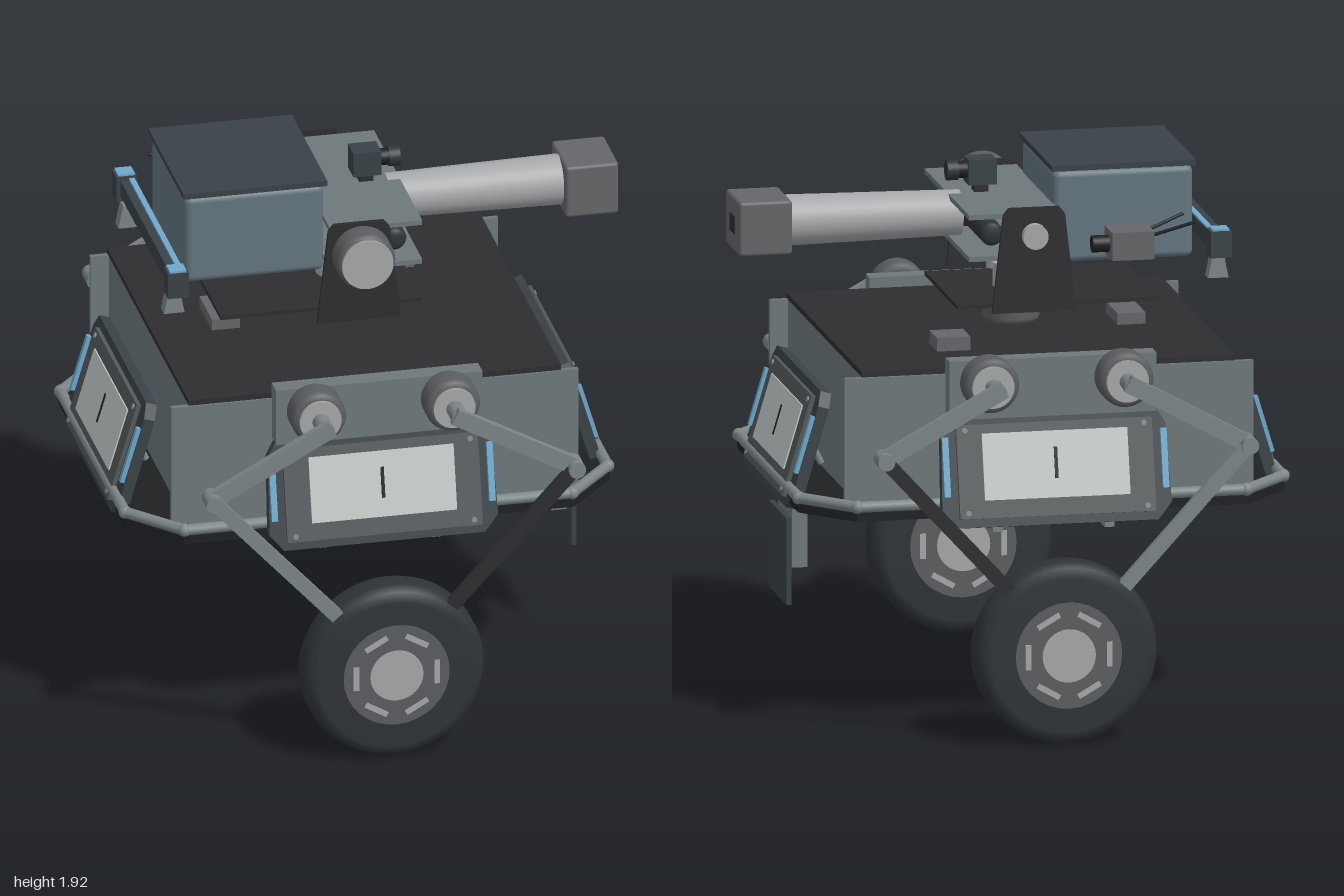
import * as THREE from 'three';
import { RoundedBoxGeometry } from 'three/addons/geometries/RoundedBoxGeometry.js';

const C = { hull: 0x6e787b, dark: 0x2e2e31, black: 0x1f2022, frame: 0x55595b, panel: 0xc4cac9, blue: 0x6fa9cc,
  tyre: 0x2f3338, hub: 0x5c5d60, metal: 0xa6a8a9, box: 0x64757f, lid: 0x3a4247, grey: 0x66666a, rail: 0x7c8587 };
const mats = {};
const mat = c => mats[c] ??= new THREE.MeshStandardMaterial({ color: C[c], side: THREE.DoubleSide });
const V = (x, y, z) => new THREE.Vector3(x, y, z);

function add(parent, name, geo, color, x = 0, y = 0, z = 0) {
  const m = new THREE.Mesh(geo, mat(color));
  m.name = name;
  m.position.set(x, y, z);
  parent.add(m);
  return m;
}
function group(parent, name, x = 0, y = 0, z = 0) {
  const g = new THREE.Group();
  g.name = name;
  g.position.set(x, y, z);
  parent.add(g);
  return g;
}
const box = (w, h, d) => new THREE.BoxGeometry(w, h, d);
const cylY = (r, h, r2 = r) => new THREE.CylinderGeometry(r2, r, h, 32);
const cylZ = (r, h, r2 = r) => cylY(r, h, r2).rotateX(Math.PI / 2);
const cylX = (r, h, r2 = r) => cylY(r, h, r2).rotateZ(-Math.PI / 2);

// A bar between two points, round when no depth is given
function bar(parent, name, a, b, w, color, depth) {
  const len = a.distanceTo(b);
  const m = add(parent, name, depth ? box(w, len, depth) : new THREE.CylinderGeometry(w, w, len, 12), color);
  m.position.copy(a).lerp(b, 0.5);
  m.quaternion.setFromUnitVectors(V(0, 1, 0), b.clone().sub(a).normalize());
  return m;
}
function plate(points, depth) {
  const s = new THREE.Shape(points.map(p => new THREE.Vector2(...p)));
  return new THREE.ExtrudeGeometry(s, { depth, bevelEnabled: false }).translate(0, 0, -depth / 2);
}
const octagon = (hx, hz, cx, cz) => [[hx, hz - cz], [hx - cx, hz], [cx - hx, hz], [-hx, hz - cz],
  [-hx, cz - hz], [cx - hx, -hz], [hx - cx, -hz], [hx, cz - hz]];
// Rounded drum built as a lathe, axis along z
function drum(r, d, e) {
  const p = [[0, -d / 2], [r - e, -d / 2], [r - e * 0.3, -d / 2 + e * 0.3], [r, -d / 2 + e],
    [r, d / 2 - e], [r - e * 0.3, d / 2 - e * 0.3], [r - e, d / 2], [0, d / 2]];
  return new THREE.LatheGeometry(p.map(q => new THREE.Vector2(...q)), 48).rotateX(Math.PI / 2);
}

// Sloping equipment panel, facing +z before it is turned
function sidePanel(parent, yaw, dist, y, tilt, h, inner, white) {
  const g = group(parent, 'sidePanel', Math.sin(yaw) * dist, y, Math.cos(yaw) * dist);
  g.rotation.set(-tilt, yaw, 0, 'YXZ');
  const k = h / 2;
  add(g, 'panelFrame', plate([[-0.36, -k], [0.36, -k], [0.41, -k + 0.06], [0.4, k - 0.05], [0.37, k],
    [-0.37, k], [-0.4, k - 0.05], [-0.41, -k + 0.06]], 0.04), 'lid');
  add(g, 'innerFrame', box(inner * 2, h - 0.06, 0.02), 'frame', 0, 0, 0.026);
  add(g, 'whitePanel', box(white * 2, 0.235, 0.01), 'panel', 0, 0.015, 0.036);
  add(g, 'slot', box(0.012, 0.11, 0.01), 'black', 0, 0.02, 0.039);
  for (const s of [-1, 1]) {
    add(g, 'lightStrip', box(0.022, 0.21, 0.03), 'blue', s * 0.39, 0.02, 0.02);
    for (const t of [-1, 1]) add(g, 'bolt', cylZ(0.01, 0.012), 'rail', s * (inner - 0.03), t * (k - 0.05), 0.036);
  }
}

function wheelUnit(parent) {
  const g = group(parent, 'wheelUnit');
  const wheel = group(g, 'wheel', 0, 0.33, 0.9);
  add(wheel, 'tyre', drum(0.325, 0.17, 0.05), 'tyre');
  for (const s of [-1, 1]) {
    add(wheel, 'hub', cylZ(0.19, 0.01), 'hub', 0, 0, s * 0.085);
    add(wheel, 'hubCap', cylZ(0.095, 0.02), 'metal', 0, 0, s * 0.085);
    for (let i = 0; i < 6; i++) {
      const a = i * Math.PI / 3;
      add(wheel, 'hubSlot', box(0.02, 0.09, 0.01), 'metal', Math.cos(a) * 0.145, Math.sin(a) * 0.145, s * 0.088).rotation.z = a;
    }
  }
  add(g, 'motorMount', box(0.74, 0.21, 0.07), 'hull', 0, 1.235, 0.68);
  for (const s of [-1, 1]) {
    add(g, 'motor', drum(0.098, 0.12, 0.025), 'hub', s * 0.24, 1.27, 0.78);
    add(g, 'motorCap', cylZ(0.075, 0.02), 'metal', s * 0.24, 1.27, 0.84);
    add(g, 'motorShaft', cylZ(0.03, 0.1), 'rail', s * 0.24, 1.27, 0.89);
    bar(g, 'upperArm', V(s * 0.22, 1.285, 0.94), V(s * 0.65, 1.05, 0.94), 0.06, 'rail', 0.03);
    add(g, 'elbow', cylZ(0.03, 0.085), 'rail', s * 0.65, 1.05, 0.945);
    bar(g, 'lowerArm', V(s * 0.65, 1.05, 0.955), V(s * 0.02, 0.36, 0.955), 0.05, s > 0 ? 'dark' : 'rail', 0.025);
  }
}

function buildChassis(root) {
  const g = group(root, 'chassis', -0.06);
  add(g, 'basePlate', plate(octagon(0.87, 0.71, 0.17, 0.19), 0.03).rotateX(Math.PI / 2), 'black', 0, 0.795, 0);
  add(g, 'body', box(1.33, 0.48, 1.27), 'hull', 0, 1.04, 0);
  add(g, 'roof', box(1.335, 0.02, 1.29), 'dark', 0, 1.292, 0);
  add(g, 'hatch', box(0.18, 0.01, 0.14), 'lid', 0, 0.777, 0);
  const rail = octagon(0.865, 0.7, 0.17, 0.19).map(([x, z]) => V(x, 0.83, z));
  rail.forEach((p, i) => {
    bar(g, 'rail', p, rail[(i + 1) % 8], 0.02, 'rail');
    add(g, 'railJoint', new THREE.SphereGeometry(0.024, 12, 8), 'rail', p.x, p.y, p.z);
  });
  for (const s of [-1, 1]) {
    add(g, 'sideSkin', box(1.46, 0.45, 0.02), 'hull', 0, 1.055, s * 0.638);
    const unit = group(g, 'wheelSide');
    unit.rotation.y = 0;
    unit.scale.z = s;
    wheelUnit(unit);
    sidePanel(g, s > 0 ? 0 : Math.PI, 0.735, 0.945, 0.25, 0.39, 0.35, 0.26);
    sidePanel(g, s * Math.PI / 2, 0.8, 0.965, 0.29, 0.43, 0.33, 0.26);
  }
  // Two hooks under every side, and a pair of panel stays
  for (let i = 0; i < 4; i++) {
    const side = group(g, 'sideHooks');
    side.rotation.y = i * Math.PI / 2;
    const d = i % 2 ? 0.82 : 0.73;
    for (const s of [-0.2, 0.2]) {
      add(side, 'hookBar', box(0.035, 0.02, 0.22), 'rail', s, 0.735, d - 0.11);
      add(side, 'hookPost', box(0.03, 0.07, 0.02), 'rail', s, 0.765, d - 0.03);
      add(side, 'hookPost', box(0.03, 0.07, 0.02), 'rail', s, 0.765, d - 0.19);
      bar(side, 'panelStay', V(s, 0.88, d - 0.1), V(s, 1.02, d - 0.03), 0.012, 'rail');
    }
  }
  // Hanging flap at the barrel end
  add(g, 'flapMount', box(0.055, 0.28, 0.24), 'hull', 0.78, 0.63, 0);
  add(g, 'flap', box(0.018, 0.31, 0.31), 'lid', 0.825, 0.52, 0);
  add(g, 'roofBox', box(0.12, 0.05, 0.13), 'grey', 0.285, 1.325, -0.32);
  add(g, 'roofBox', box(0.1, 0.045, 0.2), 'grey', -0.41, 1.32, 0);
}

function buildTurret(root) {
  const g = group(root, 'turret');
  add(g, 'turretRing', drum(0.1, 0.1, 0.02).rotateX(Math.PI / 2), 'hub', -0.06, 1.365, 0);
  add(g, 'turretNeck', cylY(0.065, 0.1), 'metal', -0.06, 1.475, 0);
  add(g, 'turretDeck', box(0.72, 0.015, 0.56), 'dark', -0.17, 1.432, 0);
  for (const s of [-1, 1]) {
    add(g, 'sideBracket', plate([[-0.21, 1.43], [0.09, 1.43], [0.05, 1.78], [0.03, 1.805], [-0.15, 1.805], [-0.17, 1.78]], 0.015),
      'dark', 0, 0, s * 0.39);
    add(g, 'supportFoot', cylY(0.045, 0.05), 'metal', -0.06, 1.485, s * 0.21);
    add(g, 'supportPost', cylY(0.05, 0.09), 'tyre', -0.06, 1.56, s * 0.21);
  }
  add(g, 'elevationDrum', drum(0.105, 0.12, 0.025), 'hub', -0.06, 1.705, 0.47);
  add(g, 'elevationCap', cylZ(0.092, 0.01), 'metal', -0.06, 1.705, 0.531);
  add(g, 'pivotCap', cylZ(0.045, 0.035), 'metal', -0.06, 1.705, -0.41);
  add(g, 'topPlate', box(0.33, 0.018, 0.76), 'hull', 0.005, 1.775, 0);
  add(g, 'lowerPlate', box(0.33, 0.018, 0.76), 'hull', 0.005, 1.625, 0);
  add(g, 'crossDrum', drum(0.042, 0.72, 0.02), 'tyre', 0.08, 1.705, 0);
  add(g, 'rearDrum', cylY(0.09, 0.12), 'tyre', -0.2, 1.7, 0);

  // Barrel and square muzzle
  add(g, 'barrelRoot', cylX(0.05, 0.14), 'tyre', 0.08, 1.71, 0);
  add(g, 'barrel', cylX(0.08, 0.63, 0.09), 'metal', 0.44, 1.71, 0);
  add(g, 'muzzle', new RoundedBoxGeometry(0.19, 0.195, 0.235, 2, 0.012), 'grey', 0.84, 1.708, 0);
  add(g, 'muzzleHole', box(0.006, 0.065, 0.085), 'dark', 0.934, 1.708, 0);

  // Storage box
  add(g, 'storageBox', new RoundedBoxGeometry(0.5, 0.33, 0.54, 3, 0.025), 'box', -0.405, 1.737, 0);
  add(g, 'storageLid', box(0.515, 0.02, 0.56), 'lid', -0.405, 1.913, 0);

  // Sighting camera on top
  add(g, 'sightBody', box(0.1, 0.09, 0.09), 'lid', 0.05, 1.858, 0);
  add(g, 'sightLens', cylX(0.03, 0.08), 'black', 0.13, 1.862, 0);
  add(g, 'sightHood', cylX(0.036, 0.04), 'tyre', 0.152, 1.862, 0);
  add(g, 'sightFoot', box(0.05, 0.04, 0.05), 'dark', 0.05, 1.8, 0);

  // Sensor with antennas beside the storage box
  add(g, 'sensor', box(0.15, 0.1, 0.13), 'grey', -0.405, 1.66, -0.375);
  add(g, 'sensorLens', cylX(0.03, 0.06), 'black', -0.3, 1.66, -0.375);
  add(g, 'sensorMount', box(0.07, 0.04, 0.08), 'hub', -0.405, 1.65, -0.29);
  bar(g, 'antenna', V(-0.47, 1.69, -0.42), V(-0.62, 1.74, -0.455), 0.006, 'black');
  bar(g, 'antenna', V(-0.47, 1.69, -0.34), V(-0.61, 1.74, -0.31), 0.006, 'black');

  // Light bar at the rear end
  add(g, 'lightBar', box(0.05, 0.06, 0.78), 'lid', -0.715, 1.655, 0);
  add(g, 'lightBarStrip', box(0.02, 0.025, 0.78), 'blue', -0.7, 1.68, 0);
  for (const s of [-1, 1]) {
    add(g, 'lightBarEnd', box(0.075, 0.095, 0.07), 'lid', -0.718, 1.652, s * 0.41);
    add(g, 'lightBarCap', box(0.06, 0.01, 0.06), 'blue', -0.718, 1.702, s * 0.41);
    add(g, 'lightBarFoot', plate([[-0.757, 1.52], [-0.683, 1.52], [-0.7, 1.605], [-0.74, 1.605]], 0.05), 'rail', 0, 0, s * 0.36);
  }
}

export function createModel() {
  const root = new THREE.Group();
  root.name = 'twoWheeledTurretVehicle';
  buildChassis(root);
  buildTurret(root);
  return root;
}
